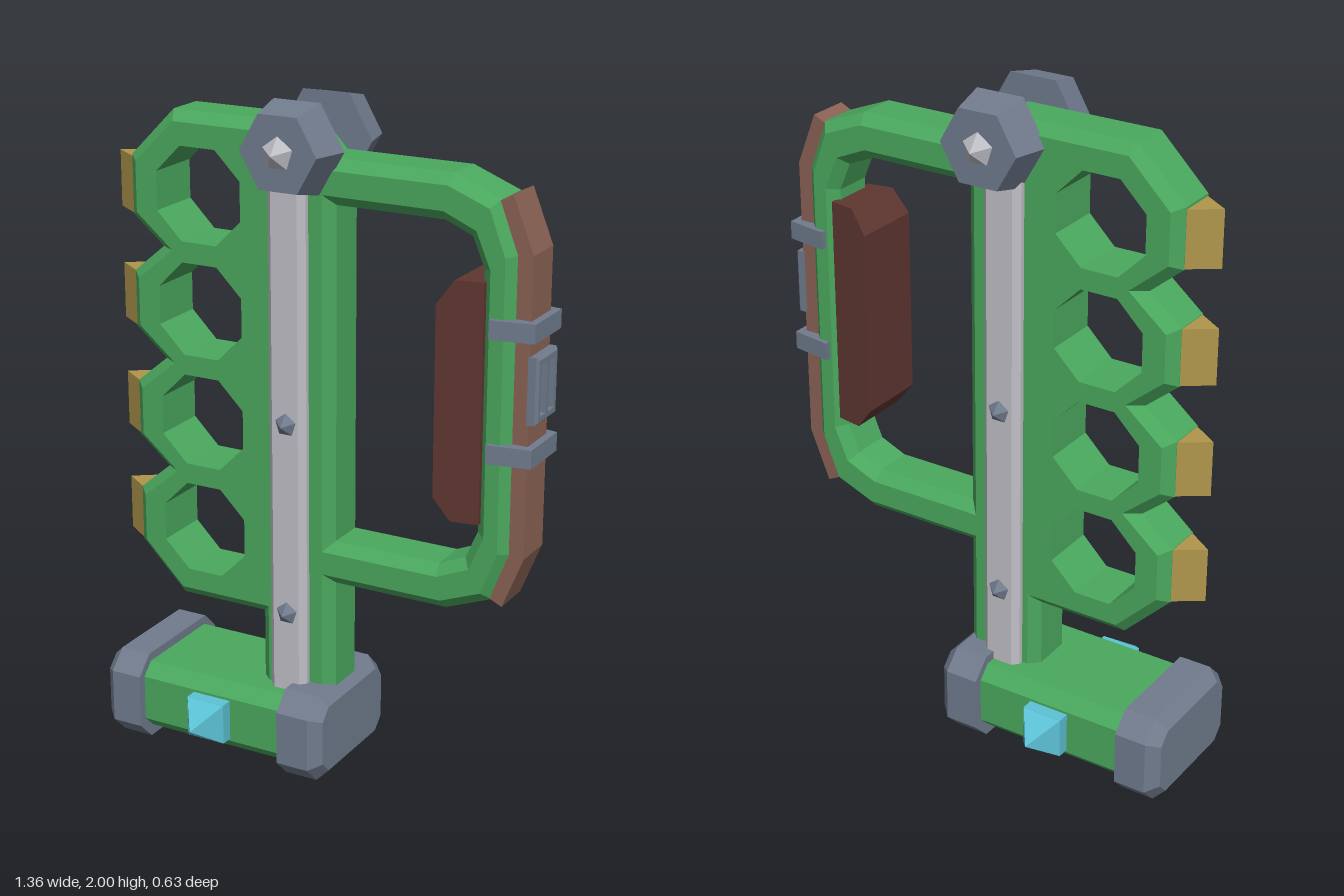
import * as THREE from 'three';

const paint = (name, color) => {
  const m = new THREE.MeshStandardMaterial({ color });
  m.name = name;
  return m;
};

// Move every edge of a closed outline towards its left (solid) side by d.
function inset(pts, d) {
  const n = pts.length;
  return pts.map((p, i) => {
    const a = pts[(i + n - 1) % n], b = pts[(i + 1) % n];
    const e1 = new THREE.Vector2(p[0] - a[0], p[1] - a[1]).normalize();
    const e2 = new THREE.Vector2(b[0] - p[0], b[1] - p[1]).normalize();
    const nx = -e1.y - e2.y, ny = e1.x + e2.x;
    const k = d / (1 + e1.dot(e2));
    return [p[0] + nx * k, p[1] + ny * k];
  });
}

// Flat-sided plate from a counter-clockwise outline, with chamfered front and back rims.
// Holes are clockwise; each may be chamfered or straight.
function plate(outline, z0, z1, front = 0, back = front, holes = []) {
  const pos = [];
  const contours = [{ pts: outline, chamfer: true }, ...holes];
  const tri = (a, b, c) => pos.push(...a, ...b, ...c);
  for (const { pts, chamfer } of contours) {
    const s = chamfer ? 1 : 0;
    const levels = [[z0, back], [z0 + back, 0], [z1 - front, 0], [z1, front]];
    const rings = levels.map(([z, d]) => inset(pts, d * s).map(p => [p[0], p[1], z]));
    for (let k = 0; k < 3; k++) {
      if (levels[k + 1][0] - levels[k][0] < 1e-6) continue;
      for (let i = 0; i < pts.length; i++) {
        const j = (i + 1) % pts.length, lo = rings[k], hi = rings[k + 1];
        tri(lo[i], lo[j], hi[j]);
        tri(lo[i], hi[j], hi[i]);
      }
    }
  }
  for (const [z, d, flip] of [[z1, front, false], [z0, back, true]]) {
    const loops = contours.map(c => inset(c.pts, c.chamfer ? d : 0).map(p => new THREE.Vector2(...p)));
    const all = loops.flat().map(v => [v.x, v.y, z]);
    for (const [a, b, c] of THREE.ShapeUtils.triangulateShape(loops[0], loops.slice(1))) {
      if (flip) tri(all[a], all[c], all[b]);
      else tri(all[a], all[b], all[c]);
    }
  }
  const g = new THREE.BufferGeometry();
  g.setAttribute('position', new THREE.Float32BufferAttribute(pos, 3));
  g.computeVertexNormals();
  return g;
}

// Rectangle with cut corners, centred on (0, cy).
const cutRect = (w, h, c, cy) => [
  [-w + c, -h], [w - c, -h], [w, -h + c], [w, h - c],
  [w - c, h], [-w + c, h], [-w, h - c], [-w, -h + c],
].map(([x, y]) => [x, y + cy]);

// Faceted cone or frustum pointing along +z, base at z = 0.
function facetCone(rTop, rBase, h, sides, turn) {
  const g = new THREE.CylinderGeometry(rTop, rBase, h, sides).toNonIndexed();
  g.rotateY(turn).translate(0, h / 2, 0).rotateX(Math.PI / 2);
  g.computeVertexNormals();
  return g;
}

export function createModel() {
  const root = new THREE.Group();
  const green = paint('green frame', 0x4aa85e);
  const steel = paint('blue grey steel', 0x707b8d);
  const silver = paint('silver', 0xbfbfc6);
  const gold = paint('brass', 0xb0964c);
  const leather = paint('brown leather', 0x8a6254);
  const darkLeather = paint('dark leather', 0x5f3631);
  const crystal = paint('cyan crystal', 0x5cc2d5);

  const add = (name, geometry, material, parent = root, x = 0, y = 0, z = 0) => {
    const m = new THREE.Mesh(geometry, material);
    m.name = name;
    m.position.set(x, y, z);
    parent.add(m);
    return m;
  };

  // Frame: finger plate, stem and handle loop in one chamfered piece
  const fingers = [1.7, 1.363, 1.027, 0.69];
  const outline = [
    [-0.18, 0.2], [0.06, 0.2], [0.06, 0.6], [0.415, 0.6], [0.555, 0.655], [0.61, 0.8],
    [0.61, 1.65], [0.555, 1.795], [0.415, 1.85], [0.03, 1.85], [-0.05, 1.935], [-0.46, 1.935],
  ];
  fingers.forEach((y, i) => {
    outline.push([-0.605, i === 0 ? 1.79 : y + 0.085], [-0.605, y - 0.085]);
    if (i < 3) outline.push([-0.505, y - 0.168]);
  });
  outline.push([-0.46, 0.46], [-0.18, 0.46]);
  const holes = fingers.map(y => ({
    chamfer: false,
    pts: Array.from({ length: 8 }, (_, k) => {
      const a = -(k + 0.5) * Math.PI / 4;
      return [-0.368 + 0.149 * Math.cos(a), y + 0.149 * Math.sin(a)];
    }),
  }));
  holes.push({
    chamfer: true,
    pts: [[0.06, 0.73], [0.06, 1.72], [0.39, 1.72], [0.472, 1.685], [0.508, 1.6],
      [0.508, 0.85], [0.472, 0.765], [0.39, 0.73]],
  });
  add('frame', plate(outline, -0.088, 0.088, 0.03, 0.03, holes), green);

  // Knuckle wedges
  for (const y of fingers) {
    const g = plate([[-0.685, 0], [-0.595, -0.063], [-0.595, 0.063]], -0.083, 0.083);
    add('knuckleWedge', g.rotateX(-Math.PI / 2), gold, root, 0, y);
  }

  // Rail through the stem
  add('rail', plate([[-0.132, 0.2], [-0.012, 0.2], [-0.012, 1.8], [-0.132, 1.8]],
    -0.12, 0.12, 0.018), silver);

  // Palm grip, narrowing towards the handle
  const grip = plate([[0.52, 0.88], [0.52, 1.57], [0.44, 1.57], [0.39, 1.5], [0.39, 0.945], [0.44, 0.88]], -1, 1);
  const gp = grip.attributes.position;
  for (let i = 0; i < gp.count; i++) gp.setZ(i, gp.getZ(i) * (0.108 - 0.18 * (gp.getX(i) - 0.39)));
  grip.computeVertexNormals();
  add('palmGrip', grip, darkLeather);

  // Outer strap following the handle
  add('strap', plate([[0.588, 0.64], [0.65, 0.795], [0.65, 1.655], [0.588, 1.81],
    [0.55, 1.792], [0.605, 1.65], [0.605, 0.8], [0.55, 0.658]], -0.063, 0.063), leather);

  // Bands and buckle
  for (const y of [1.45, 1.098]) {
    const band = plate([[0.545, -0.106], [0.672, -0.086], [0.672, 0.086], [0.545, 0.106]], -0.027, 0.027);
    add('strapBand', band.rotateX(-Math.PI / 2), steel, root, 0, y);
  }
  const windows = [-0.027, 0.027].map(c => ({
    chamfer: false,
    pts: [[c - 0.019, -0.073], [c - 0.019, 0.073], [c + 0.019, 0.073], [c + 0.019, -0.073]],
  }));
  const buckle = plate([[-0.066, -0.096], [0.066, -0.096], [0.066, 0.096], [-0.066, 0.096]],
    0.645, 0.676, 0.008, 0, windows);
  add('buckle', buckle.rotateY(Math.PI / 2), steel, root, 0, 1.283);

  // Hammer head with end caps
  add('hammerBody', plate(cutRect(0.19, 0.108, 0.038, 0.142), -0.58, 0.02)
    .rotateY(Math.PI / 2), green);
  for (const [name, side, inner, outer] of [['rightCap', -1, 0.53, 0.662], ['leftCap', 1, -0.052, 0.085]]) {
    const cap = plate(cutRect(0.216, 0.138, 0.056, 0.138), inner, outer, 0.034, 0);
    add(name, cap.rotateY(side * Math.PI / 2), steel);
  }

  // Matching fittings on the front and back
  for (const [name, turn, s] of [['frontFittings', 0, 1], ['backFittings', Math.PI, -1]]) {
    const side = new THREE.Group();
    side.name = name;
    side.rotation.y = turn;
    root.add(side);
    add('hexBolt', facetCone(0.12, 0.146, 0.108, 6, Math.PI / 6), steel, side, -0.05 * s, 1.873, 0.08);
    add('boltSpike', facetCone(0, 0.05, 0.04, 5, Math.PI), silver, side, -0.05 * s, 1.873, 0.187);
    for (const y of [1.08, 0.497]) {
      add('railStud', facetCone(0, 0.036, 0.03, 5, Math.PI), steel, side, -0.07 * s, y, 0.119);
    }
    add('crystalBase', new THREE.BoxGeometry(0.125, 0.125, 0.06), crystal, side, -0.29 * s, 0.142, 0.197);
    add('crystalPoint', facetCone(0, 0.0884, 0.09, 4, Math.PI / 4), crystal, side, -0.29 * s, 0.142, 0.226);
  }
  return root;
}
